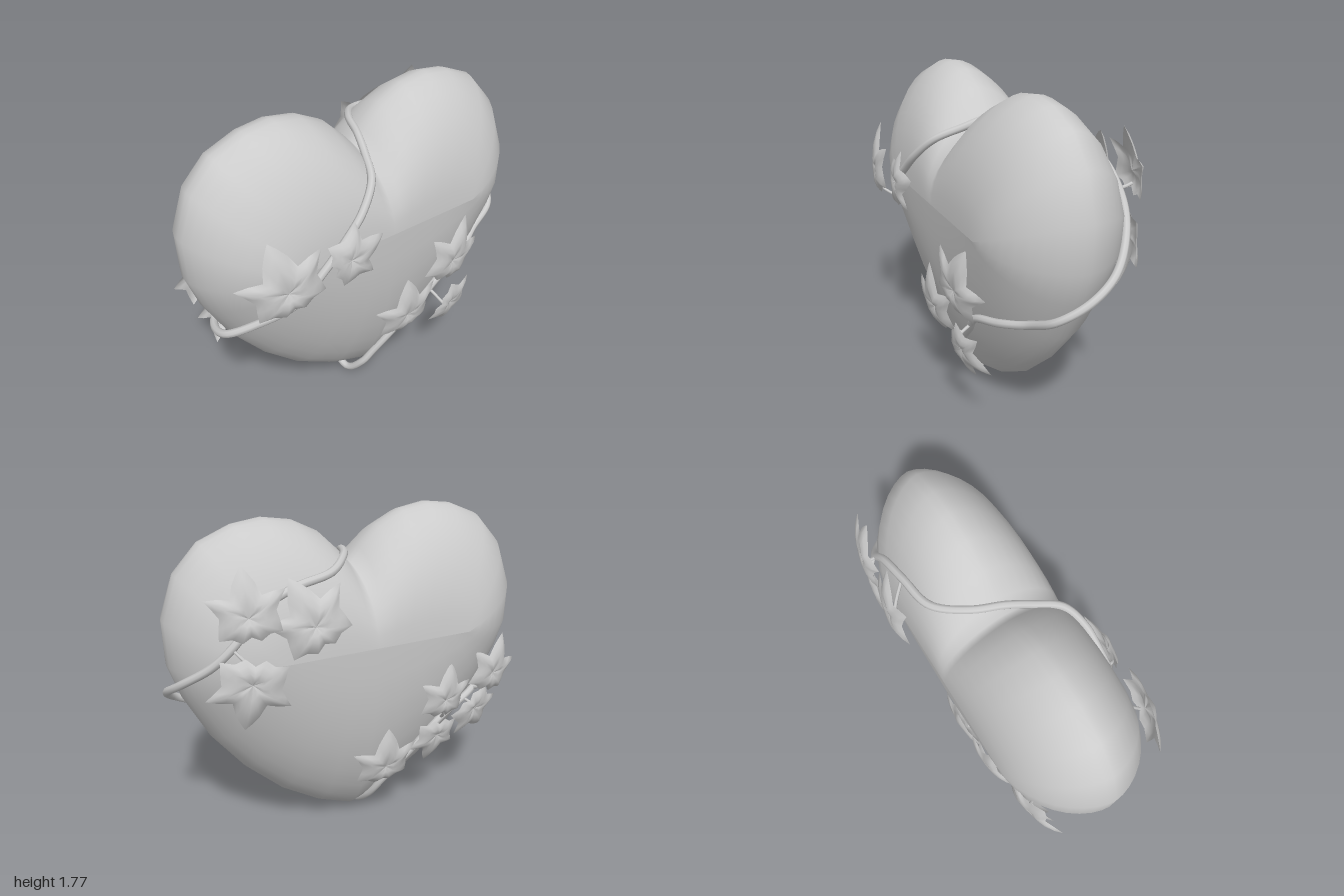
import * as THREE from 'three';

const material = new THREE.MeshStandardMaterial({ color: 0xcccccc });
const leafMaterial = new THREE.MeshStandardMaterial({ color: 0xcccccc, side: THREE.DoubleSide });
const V = (x, y, z) => new THREE.Vector3(x, y, z);

// Mirror a half outline (starting and ending on x = 0) into a closed loop
function mirrorLoop(half) {
  const left = half.slice(1, -1).reverse().map(([x, y]) => [-x, y]);
  return [...half, ...left];
}

// Indexed surface through rings of equal point count, closed around
function skinRings(rings) {
  const n = rings[0].length, index = [];
  for (let i = 0; i < rings.length - 1; i++) {
    for (let j = 0; j < n; j++) {
      const a = i * n + j, b = i * n + (j + 1) % n;
      index.push(a, a + n, b + n, a, b + n, b);
    }
  }
  const geo = new THREE.BufferGeometry().setFromPoints(rings.flat());
  geo.setIndex(index);
  geo.computeVertexNormals();
  return geo;
}

// Heart body: the outline shrinks towards a short ridge while it swells in z
function heartGeometry() {
  const outline = mirrorLoop([
    [0, 0.04], [0.2, 0.12], [0.42, 0.26], [0.62, 0.45], [0.79, 0.67], [0.92, 0.92],
    [0.98, 1.1], [0.985, 1.335], [0.91, 1.55], [0.78, 1.69], [0.61, 1.76], [0.46, 1.78],
    [0.31, 1.755], [0.17, 1.685], [0.06, 1.58], [0, 1.51],
  ]);
  const rings = [], steps = 20;
  for (let i = 0; i <= steps; i++) {
    const phi = Math.PI * i / steps, s = Math.sin(phi), c = Math.cos(phi);
    const z = -0.025 + 0.365 * Math.sign(c) * Math.abs(c) ** 1.2;
    rings.push(outline.map(([x, y]) => V(x * (0.55 + 0.45 * s), 1.15 + (y - 1.15) * s, z)));
  }
  return skinRings(rings);
}

// Ivy leaf, tip along +y, with raised veins towards the lobes and sunken notches
function leafGeometry() {
  const outline = mirrorLoop([
    [0, -0.13], [0.05, -0.16], [0.1, -0.13], [0.17, -0.13], [0.16, -0.06], [0.15, -0.01],
    [0.18, 0.04], [0.215, 0.09], [0.15, 0.09], [0.085, 0.08], [0.06, 0.15], [0.03, 0.2], [0, 0.24],
  ]);
  const rings = [0, 0.3, 0.55, 0.8, 1].map((s) => outline.map(([x, y]) => {
    const reach = Math.hypot(x, y + 0.03);
    const z = 0.02 * Math.sin(Math.PI * s) + (0.17 - reach) * 0.25 * s * s - 0.02 * s ** 3;
    return V(x * s, -0.03 + (y + 0.03) * s, z);
  }));
  return skinRings(rings);
}

export function createModel() {
  const group = new THREE.Group();
  const heart = new THREE.Mesh(heartGeometry(), material);
  heart.name = 'heart';
  group.add(heart);

  // Point just above the front (side 1) or back (side -1) of the heart
  const ray = new THREE.Raycaster();
  const onHeart = (x, y, side, lift = 0.016) => {
    ray.set(V(x, y, 2 * side), V(0, 0, -side));
    const hit = ray.intersectObject(heart)[0];
    if (!hit) return V(x, y, 0);
    return hit.point.addScaledVector(hit.face.normal, lift);
  };
  const front = (x, y) => onHeart(x, y, 1);
  const back = (x, y) => onHeart(x, y, -1);

  // Vine: one closed loop winding round the heart
  const vineCurve = new THREE.CatmullRomCurve3([
    V(-0.07, 0.03, 0.02), V(-0.03, 0.12, 0.12), front(0.02, 0.22), front(0.13, 0.38), front(0.3, 0.55),
    front(0.4, 0.66), front(0.6, 0.73), front(0.75, 0.785), V(0.93, 0.87, 0.11), V(0.99, 0.96, -0.02),
    V(0.955, 1.05, -0.17), back(0.82, 1.17), back(0.72, 1.28), back(0.6, 1.42),
    back(0.42, 1.5), back(0.22, 1.535), V(0.08, 1.58, -0.15), V(0.02, 1.57, 0),
    V(-0.03, 1.52, 0.13), front(-0.1, 1.45), front(-0.2, 1.35), front(-0.3, 1.26),
    front(-0.45, 1.13), front(-0.58, 0.99), front(-0.74, 0.88), V(-0.87, 0.79, 0.1),
    V(-0.85, 0.74, -0.06), back(-0.68, 0.73), back(-0.45, 0.63), back(-0.28, 0.45),
    back(-0.14, 0.28), V(-0.09, 0.13, -0.13),
  ], true);
  const vine = new THREE.Mesh(new THREE.TubeGeometry(vineCurve, 240, 0.021, 8, true), material);
  vine.name = 'vine';
  group.add(vine);
  const vinePoints = vineCurve.getSpacedPoints(240);

  // Leaves: centre x, y, z, tip direction in degrees clockwise from up, size
  const leaves = [
    [-0.68, 1.17, 0.4, -15, 1.02], [-0.3, 1.18, 0.41, 72, 0.78],
    [0.09, 0.62, 0.37, -5, 0.95], [0.4, 0.86, 0.38, 22, 0.98], [0.44, 0.5, 0.35, 115, 0.78],
    [0.68, 1.45, -0.42, 5, 0.86], [0.38, 1.37, -0.45, 25, 0.95], [0.68, 1.07, -0.42, 170, 0.95],
    [-0.08, 0.45, -0.35, 0, 0.9], [-0.43, 0.79, -0.38, -8, 0.8], [-0.39, 0.53, -0.35, 175, 0.75],
    [-0.77, 0.87, -0.33, -20, 0.85], [-0.69, 0.61, -0.29, 215, 0.8],
  ];
  const leafShape = leafGeometry();
  leaves.forEach(([x, y, z, degrees, size], i) => {
    const side = Math.sign(z), a = THREE.MathUtils.degToRad(degrees);
    const normal = V(x * 0.3, (y - 1.15) * 0.4, side).normalize();
    const tip = V(Math.sin(a), Math.cos(a), 0);
    tip.addScaledVector(normal, -tip.dot(normal)).normalize();
    const leaf = new THREE.Mesh(leafShape, leafMaterial);
    leaf.name = `leaf${i + 1}`;
    leaf.quaternion.setFromRotationMatrix(
      new THREE.Matrix4().makeBasis(tip.clone().cross(normal), tip, normal));
    leaf.position.set(x, y, z);
    leaf.scale.setScalar(size);
    group.add(leaf);

    // Stem from the leaf base to the nearest point of the vine
    const base = leaf.position.clone().addScaledVector(tip, -0.11 * size);
    const root = vinePoints.reduce((p, q) => (q.distanceTo(base) < p.distanceTo(base) ? q : p));
    const middle = base.clone().lerp(root, 0.5).addScaledVector(normal, 0.01);
    const stemCurve = new THREE.CatmullRomCurve3([base, middle, root]);
    const stem = new THREE.Mesh(new THREE.TubeGeometry(stemCurve, 6, 0.009, 6), material);
    stem.name = `stem${i + 1}`;
    group.add(stem);
  });
  return group;
}
